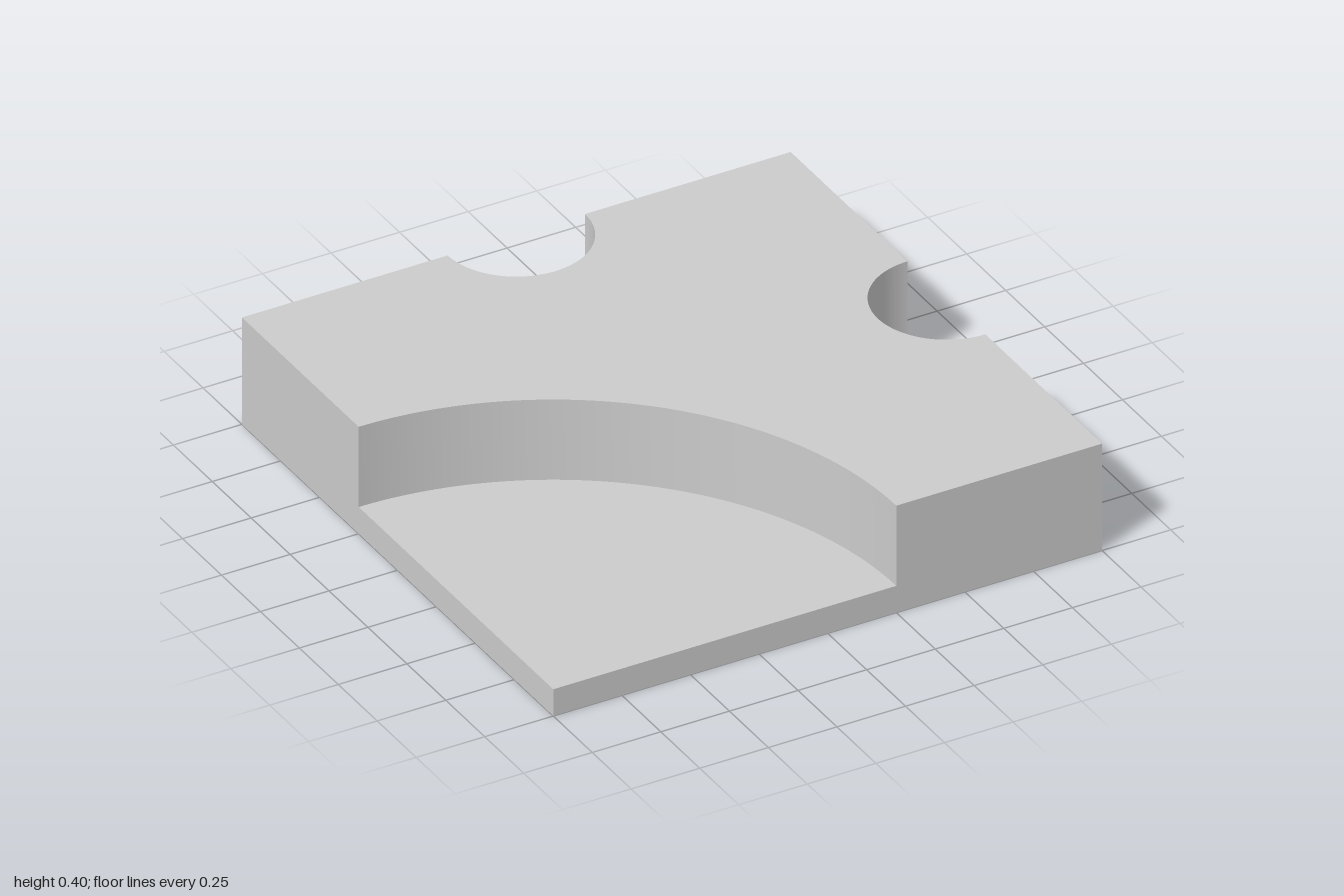
import * as THREE from 'three';
import { toCreasedNormals } from 'three/addons/utils/BufferGeometryUtils.js';

const FLOOR = 0.1;    // height of the recess floors
const HEIGHT = 0.4;   // full height of the block
const NOTCH = 0.25;   // radius of the two edge notches
const CORNER = 1.25;  // radius of the corner recess

export function createModel() {
  const group = new THREE.Group();
  group.name = 'recessedTile';
  const material = new THREE.MeshStandardMaterial({ color: 0xcccccc });

  // Thin square slab whose top is the floor of every recess
  const base = new THREE.Mesh(new THREE.BoxGeometry(2, FLOOR, 2), material);
  base.name = 'baseSlab';
  base.position.y = FLOOR / 2;
  group.add(base);

  // Plan outline of the raised block (shape y is -z)
  const outline = new THREE.Shape();
  outline.moveTo(CORNER - 1, -1);
  outline.lineTo(1, -1);
  outline.lineTo(1, -NOTCH);
  outline.absarc(1, 0, NOTCH, -Math.PI / 2, Math.PI / 2, true);  // left notch
  outline.lineTo(1, 1);
  outline.lineTo(NOTCH, 1);
  outline.absarc(0, 1, NOTCH, 0, Math.PI, true);                 // back notch
  outline.lineTo(-1, 1);
  outline.lineTo(-1, CORNER - 1);
  outline.absarc(-1, -1, CORNER, Math.PI / 2, 0, true);          // corner recess

  // Raised block, with smooth curved walls and sharp edges
  const geometry = new THREE.ExtrudeGeometry(outline, {
    depth: HEIGHT - FLOOR, bevelEnabled: false, curveSegments: 48,
  });
  geometry.rotateX(-Math.PI / 2);
  const block = new THREE.Mesh(toCreasedNormals(geometry, 0.5), material);
  block.name = 'raisedBlock';
  block.position.y = FLOOR;
  group.add(block);

  return group;
}
